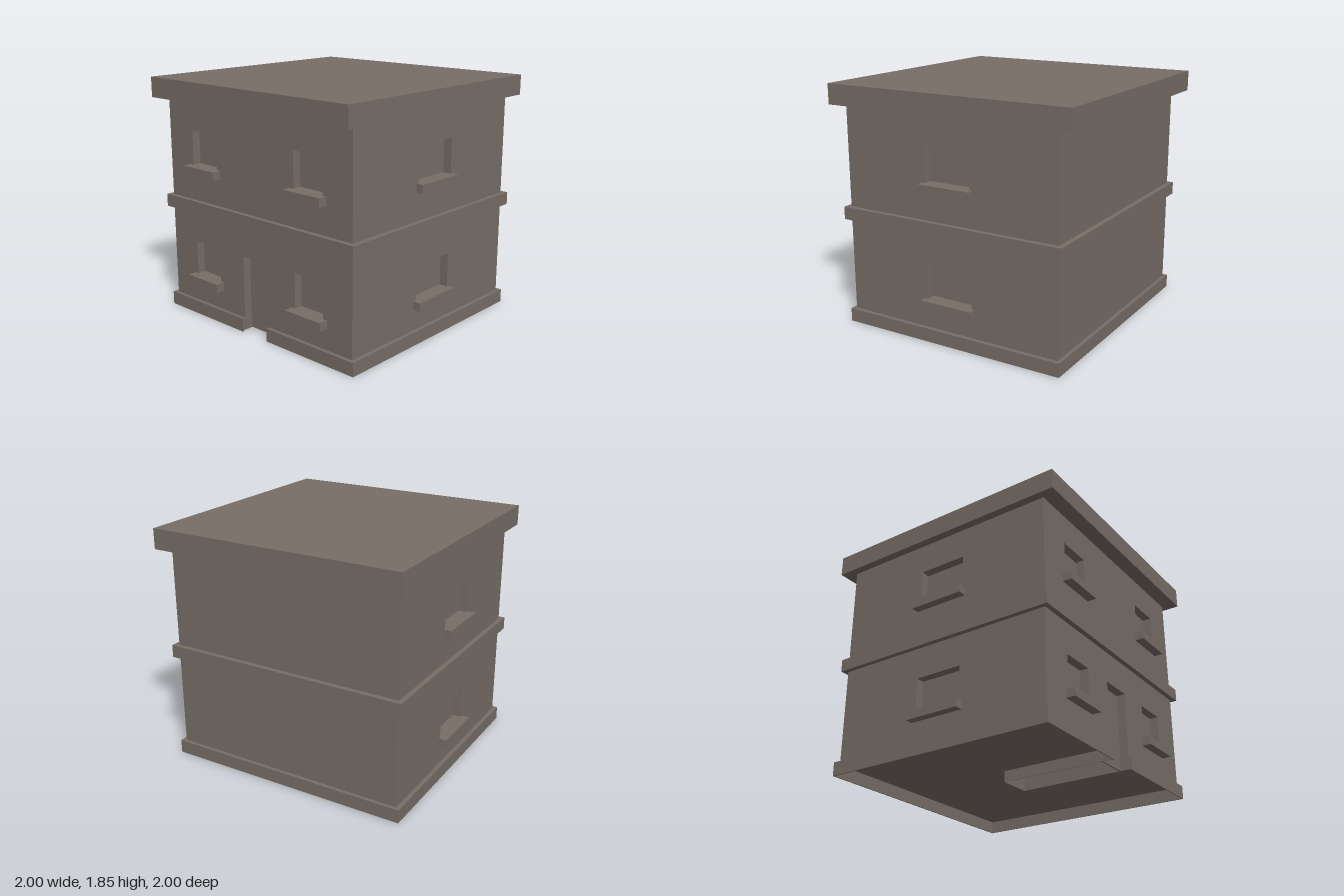
import * as THREE from 'three';

export function createModel() {
  const model = new THREE.Group();
  const stone = new THREE.MeshStandardMaterial({ color: 0x776d66 });
  stone.name = 'stone';

  const HX = 0.937, HZ = 0.885;       // half size of the outer walls
  const BOTTOM = 0.095, TOP = 1.7;    // wall heights
  const REVEAL = 0.066;               // depth of the window and door recesses
  const FLOORS = [0.325, 1.198];      // heights of the window sills

  const add = (name, geometry, parent = model) => {
    const mesh = new THREE.Mesh(geometry, stone);
    mesh.name = name;
    parent.add(mesh);
    return mesh;
  };
  // Box given by its lower and upper limits
  const box = (name, x0, x1, y0, y1, z0, z1, parent) =>
    add(name, new THREE.BoxGeometry(x1 - x0, y1 - y0, z1 - z0), parent)
      .position.set((x0 + x1) / 2, (y0 + y1) / 2, (z0 + z1) / 2);
  const polygon = points => new THREE.Shape(points.map(p => new THREE.Vector2(...p)));
  const rectangle = (x0, x1, y0, y1) => polygon([[x0, y0], [x1, y0], [x1, y1], [x0, y1]]);
  // Plan outline (x, -z) raised from y0 to y1
  const slab = (name, points, y0, y1) => {
    const g = new THREE.ExtrudeGeometry(polygon(points), { depth: y1 - y0, bevelEnabled: false });
    g.rotateX(-Math.PI / 2);
    add(name, g).position.y = y0;
  };
  // Wall facing +z with window openings and projecting sills
  const wall = (name, outline, windows, halfWidth, sillHalf, out) => {
    const group = new THREE.Group();
    group.name = name;
    for (const x of windows) for (const y of FLOORS) {
      outline.holes.push(rectangle(x - halfWidth, x + halfWidth, y - 0.01, y + 0.265));
      box('windowSillInner', x - halfWidth, x + halfWidth, y - 0.01, y, -REVEAL, 0, group);
      box('windowSill', x - sillHalf, x + sillHalf, y - 0.065, y, -0.01, out, group);
    }
    const g = new THREE.ExtrudeGeometry(outline, { depth: REVEAL, bevelEnabled: false });
    g.translate(0, 0, -REVEAL);
    add('wallFace', g, group);
    model.add(group);
    return group;
  };

  // Front wall with a doorway notch and four windows
  const front = polygon([
    [-HX, BOTTOM], [-0.133, BOTTOM], [-0.133, 0.59], [0.133, 0.59],
    [0.133, BOTTOM], [HX, BOTTOM], [HX, TOP], [-HX, TOP]]);
  wall('frontWall', front, [-0.535, 0.537], 0.136, 0.169, 0.07).position.z = HZ;

  // Side walls, two windows each, running from the back to the front wall
  const cx = HX - REVEAL, cz = HZ - REVEAL;
  for (const side of [-1, 1]) {
    const [from, to] = side > 0 ? [-cz, HZ] : [-HZ, cz];
    const w = wall(side > 0 ? 'leftWall' : 'rightWall', rectangle(from, to, BOTTOM, TOP),
      [0], 0.19, 0.216, side > 0 ? 0.055 : 0.063);
    w.rotation.y = side * Math.PI / 2;
    w.position.x = side * HX;
  }

  // Core behind the walls, with an open passage below the ground floor
  const slot = 0.127;
  slab('lowerCore', [
    [-cx, -cz], [-slot, -cz], [-slot, 0], [slot, 0],
    [slot, -cz], [cx, -cz], [cx, HZ], [-cx, HZ]], BOTTOM, 0.6);
  box('upperCore', -cx, cx, 0.6, TOP, -HZ, cz);

  // Door panel and the thin lining of the passage, hanging below the floor
  box('door', -0.133, 0.133, 0.01, 0.6, cz - 0.01, cz);
  for (const s of [-1, 1]) {
    const x = s * 0.129;
    box('passageLining', x - 0.002, x + 0.002, 0.01, 0.1, 0, 0.908);
  }
  box('passageEnd', -0.131, 0.131, 0.01, 0.1, -0.004, 0);

  // Hollow plinth, open at the doorway: a thin skirt under a flat collar
  const px = 0.97, pz = 0.913, gap = 0.128;
  const plinth = (name, t, y0, y1) => slab(name, [
    [gap, -pz], [px, -pz], [px, pz], [-px, pz], [-px, -pz], [-gap, -pz],
    [-gap, t - pz], [t - px, t - pz], [t - px, pz - t],
    [px - t, pz - t], [px - t, t - pz], [gap, t - pz]], y0, y1);
  plinth('plinthSkirt', 0.008, 0, BOTTOM);
  plinth('plinthCollar', 0.06, BOTTOM, 0.103);

  // Belt course and roof slab
  box('beltCourse', -0.974, 0.976, 0.826, 0.923, -0.923, 0.923);
  box('roof', -0.998, 0.998, 1.693, 1.848, -0.998, 0.998);

  return model;
}
